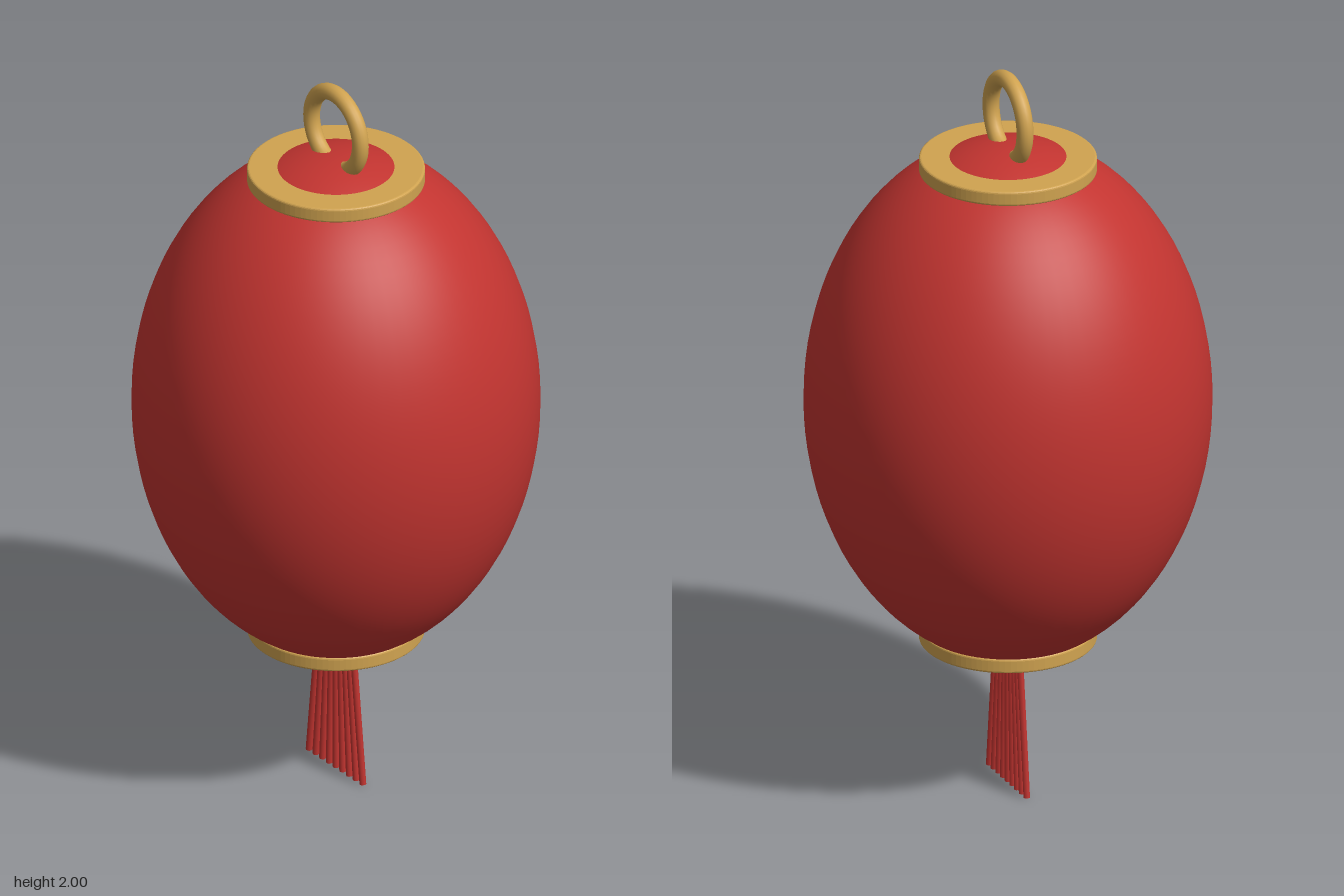
import * as THREE from 'three';

export function createModel() {
  const model = new THREE.Group();
  model.name = 'paperLantern';
  const red = new THREE.MeshStandardMaterial({ color: 0xc23430 });
  const gold = new THREE.MeshStandardMaterial({ color: 0xd0a350 });

  function add(name, geometry, material, y, parent = model) {
    const mesh = new THREE.Mesh(geometry, material);
    mesh.name = name;
    mesh.position.y = y;
    parent.add(mesh);
    return mesh;
  }

  // Egg-shaped paper body
  const midY = 1.085;
  add('body', new THREE.SphereGeometry(1, 64, 48), red, midY).scale.set(0.528, 0.71, 0.528);

  // Collars: discs with a slightly softened rim, mirrored about the middle
  const collarShape = new THREE.Shape();
  const r = 0.23, h = 0.02, b = 0.006;
  const disc = new THREE.ExtrudeGeometry(collarShape.absarc(0, 0, r - b, 0, Math.PI * 2), {
    depth: 2 * (h - b), bevelEnabled: true, bevelThickness: b, bevelSize: b,
    bevelSegments: 3, curveSegments: 48,
  });
  disc.translate(0, 0, b - h).rotateX(-Math.PI / 2);
  for (const [name, side] of [['topCollar', 1], ['bottomCollar', -1]]) {
    add(name, disc, gold, midY + side * 0.66);
  }

  // Hanging ring
  add('hangingRing', new THREE.TorusGeometry(0.106, 0.022, 16, 48), gold, 1.872);

  // Tassel: a flat fan of thin strands
  const tassel = new THREE.Group();
  tassel.name = 'tassel';
  model.add(tassel);
  const strands = 9, topY = 0.41;
  for (let i = 0; i < strands; i++) {
    const t = (i / (strands - 1)) * 2 - 1;
    const top = new THREE.Vector3(t * 0.071, topY, 0);
    const bottom = new THREE.Vector3(t * 0.117, 0.001, 0);
    const strand = add('tasselStrand', new THREE.CylinderGeometry(0.009, 0.009, top.distanceTo(bottom), 8), red, 0, tassel);
    strand.position.addVectors(top, bottom).multiplyScalar(0.5);
    strand.rotation.z = Math.atan2(bottom.x - top.x, top.y - bottom.y);
  }
  return model;
}
